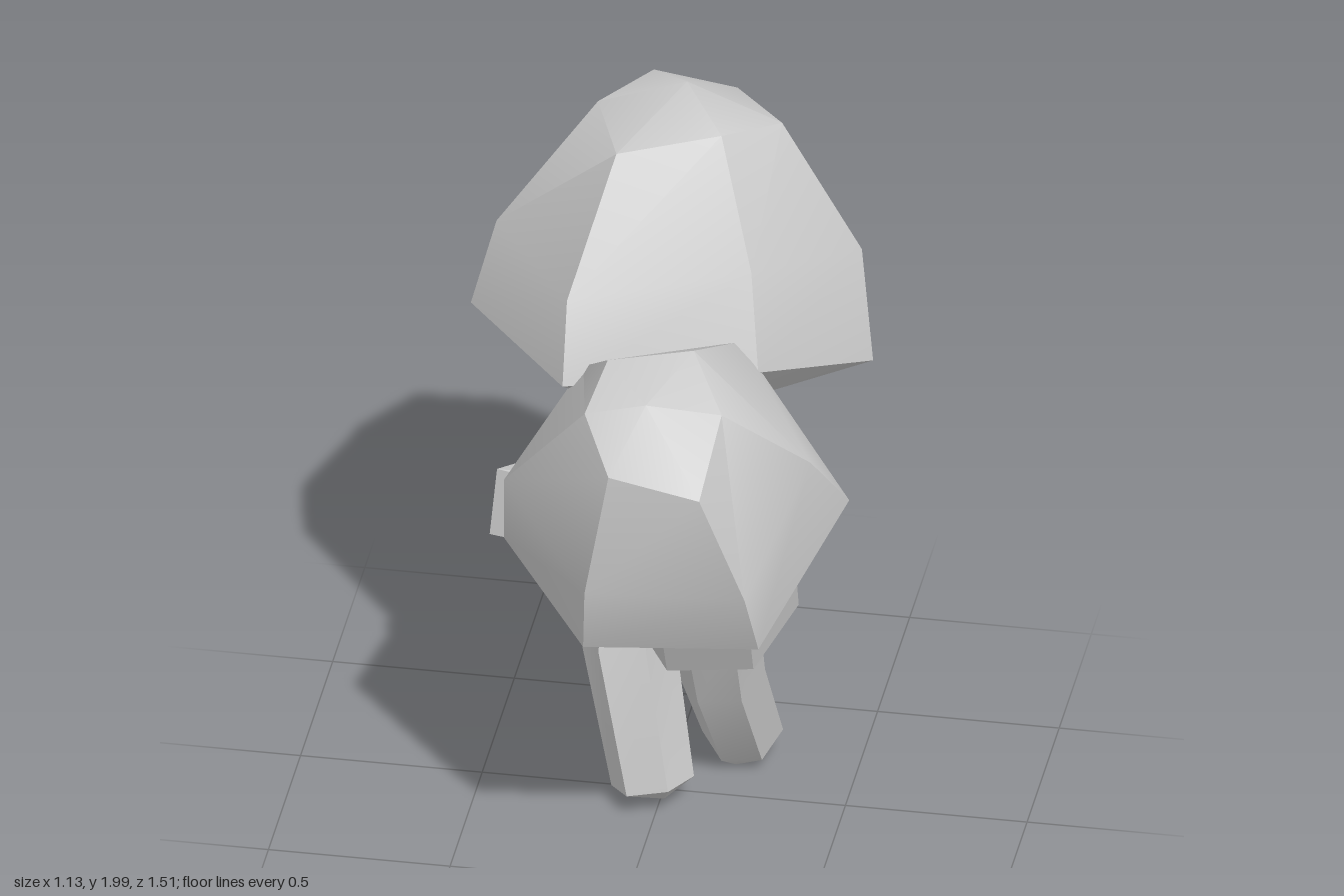
import * as THREE from 'three';
import { toCreasedNormals } from 'three/addons/utils/BufferGeometryUtils.js';

const SIDES = 6;
const material = new THREE.MeshStandardMaterial({ color: 0xcccccc });

// Tilted hexagonal cross-section; corners run from +z towards +x.
function ring([x, y, z], r, tiltX = 0, tiltZ = 0, phase = 0.55) {
  const e = new THREE.Euler(tiltX, 0, tiltZ);
  return Array.from({ length: SIDES }, (_, i) => {
    const a = phase + (i * Math.PI * 2) / SIDES;
    const p = new THREE.Vector3(r * Math.sin(a), 0, r * Math.cos(a)).applyEuler(e);
    return [x + p.x, y + p.y, z + p.z];
  });
}

// Skin a stack of cross-sections, bottom to top; a one-point section closes an end.
function loft(name, sections, crease) {
  const pos = [];
  const at = (s, i) => s[i % s.length];
  for (let k = 0; k + 1 < sections.length; k++) {
    const lo = sections[k], hi = sections[k + 1];
    for (let i = 0; i < SIDES; i++) {
      const a = at(lo, i), b = at(lo, i + 1), c = at(hi, i + 1), d = at(hi, i);
      if (lo.length > 1) pos.push(...a, ...b, ...c);
      if (hi.length > 1) pos.push(...a, ...c, ...d);
    }
  }
  const geo = new THREE.BufferGeometry();
  geo.setAttribute('position', new THREE.Float32BufferAttribute(pos, 3));
  const mesh = new THREE.Mesh(toCreasedNormals(geo, crease), material);
  mesh.name = name;
  return mesh;
}

function mushroom(name, { cap, stem, skirt }) {
  const g = new THREE.Group();
  g.name = name;
  g.add(
    loft('cap', [[cap.base], cap.under, cap.rim, cap.shoulder, cap.crown, [cap.apex]], 0.6),
    loft('stem', [[stem.tip], ...stem.rings, [stem.top]], 0.3),
    loft('skirt', [[skirt.bottom], ...skirt.rings, [skirt.top]], 0.3),
  );
  return g;
}

export function createModel() {
  const model = new THREE.Group();
  model.name = 'mushrooms';

  // Tall mushroom, leaning back
  model.add(mushroom('tallMushroom', {
    cap: {
      base: [-0.02, 1.16, -0.25],
      under: ring([-0.02, 1.15, -0.25], 0.21, -0.12),
      rim: [[0.29, 1.46, 0.17], [0.525, 1.25, -0.29], [0.2, 1.2, -0.74],
        [-0.31, 1.12, -0.66], [-0.57, 1.36, -0.22], [-0.24, 1.39, 0.22]],
      shoulder: [[0.25, 1.7, 0.05], [0.48, 1.55, -0.37], [0.18, 1.5, -0.755],
        [-0.31, 1.48, -0.73], [-0.51, 1.59, -0.28], [-0.24, 1.62, 0.15]],
      crown: [[0.12, 1.96, -0.22], [0.25, 1.89, -0.43], [0.09, 1.86, -0.64],
        [-0.13, 1.93, -0.58], [-0.25, 1.93, -0.39], [-0.15, 1.94, -0.11]],
      apex: [-0.01, 2, -0.42],
    },
    stem: {
      tip: [0.01, 0.01, 0.05],
      rings: [
        ring([-0.02, 0.07, 0.06], 0.115, -0.15, 0.2),
        ring([-0.1, 0.47, -0.01], 0.13, -0.2, 0.1),
        ring([-0.09, 0.7, -0.09], 0.14, -0.3),
        ring([-0.05, 0.92, -0.16], 0.17, -0.3),
        ring([-0.02, 1.15, -0.25], 0.21, -0.12),
      ],
      top: [-0.02, 1.16, -0.25],
    },
    skirt: {
      bottom: [-0.1, 0.71, -0.1],
      rings: [
        [[0.08, 0.76, 0.09], [0.18, 0.69, -0.02], [0.09, 0.65, -0.29],
          [-0.39, 0.67, -0.26], [-0.49, 0.73, -0.06], [-0.15, 0.77, 0.08]],
        [[0.08, 0.94, 0.05], [0.18, 0.89, -0.07], [0.1, 0.83, -0.35],
          [-0.36, 0.86, -0.3], [-0.475, 0.92, -0.09], [-0.15, 0.95, 0.05]],
        ring([-0.05, 0.93, -0.15], 0.17, -0.25),
      ],
      top: [-0.05, 0.94, -0.16],
    },
  }));

  // Short mushroom, leaning forward
  model.add(mushroom('shortMushroom', {
    cap: {
      base: [0.12, 0.97, 0.2],
      under: ring([0.12, 0.96, 0.19], 0.21, 0.42),
      rim: [[0.37, 0.86, 0.62], [0.56, 1.15, 0.28], [0.28, 1.26, -0.09],
        [-0.17, 1.12, -0.03], [-0.385, 0.95, 0.31], [-0.1, 0.86, 0.69]],
      shoulder: [[0.35, 1.07, 0.72], [0.48, 1.35, 0.43], [0.23, 1.51, 0.1],
        [-0.2, 1.4, 0.12], [-0.36, 1.22, 0.45], [-0.085, 1.07, 0.755]],
      crown: [[0.23, 1.39, 0.75], [0.26, 1.56, 0.57], [0.15, 1.64, 0.38],
        [-0.08, 1.61, 0.42], [-0.11, 1.55, 0.61], [-0.02, 1.44, 0.75]],
      apex: [0.06, 1.6, 0.62],
    },
    stem: {
      tip: [0.17, 0.01, -0.16],
      rings: [
        ring([0.18, 0.09, -0.21], 0.11, 0.5, 0, 0.65),
        ring([0.15, 0.38, -0.04], 0.12, 0.45, 0, 0.65),
        ring([0.14, 0.66, 0.07], 0.13, 0.4, 0, 0.65),
        ring([0.14, 0.82, 0.13], 0.15, 0.45, 0, 0.65),
        ring([0.12, 0.96, 0.19], 0.21, 0.42),
      ],
      top: [0.12, 0.97, 0.2],
    },
    skirt: {
      bottom: [0.13, 0.64, 0.05],
      rings: [
        ring([0.14, 0.625, 0.035], 0.235, 0.48, 0, 0.65),
        ring([0.14, 0.81, 0.12], 0.24, 0.48, 0, 0.65),
        ring([0.14, 0.85, 0.14], 0.17, 0.48, 0, 0.65),
      ],
      top: [0.14, 0.86, 0.14],
    },
  }));

  return model;
}
